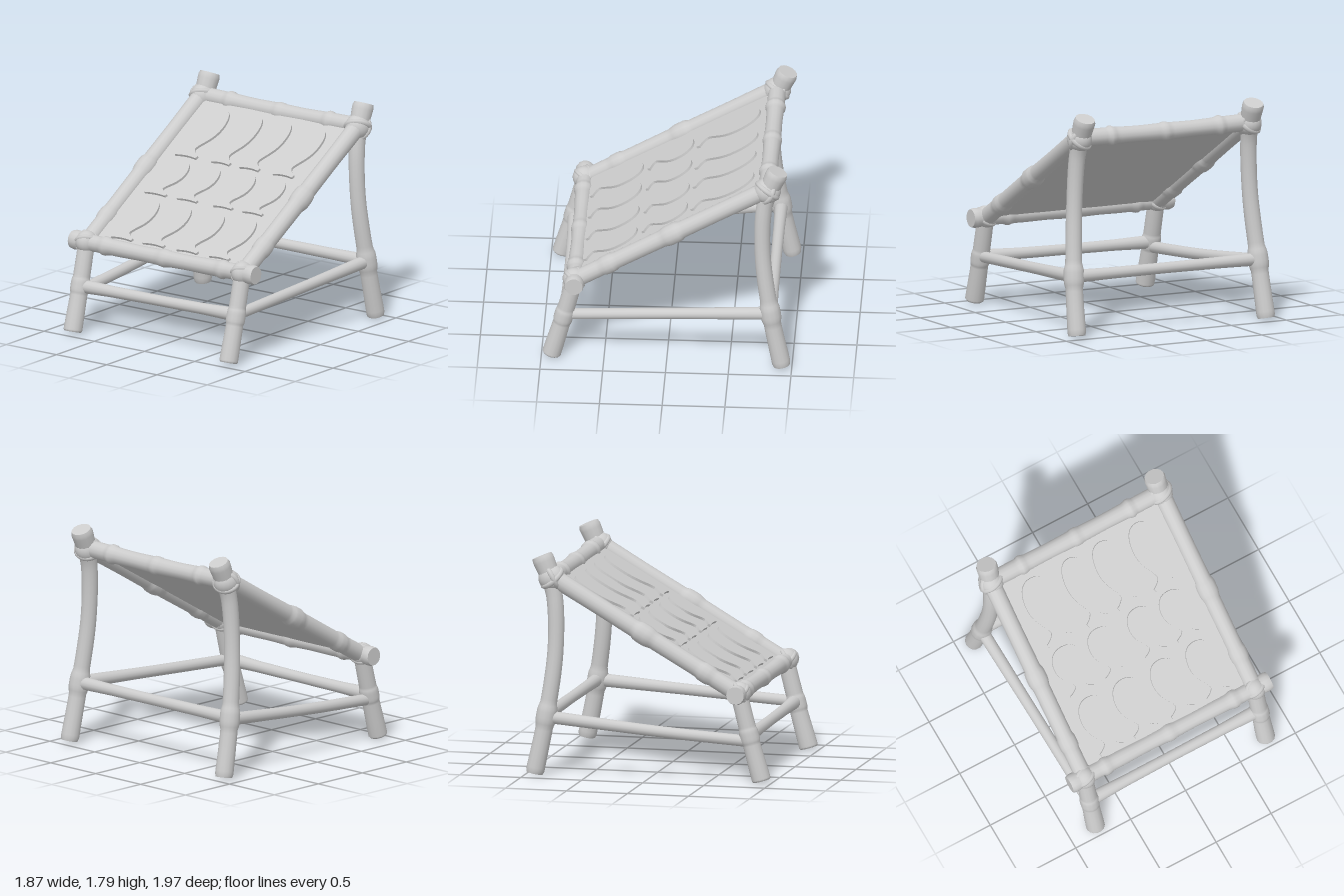
import * as THREE from 'three';
import { toCreasedNormals } from 'three/addons/utils/BufferGeometryUtils.js';

const wood = new THREE.MeshStandardMaterial({ color: 0xcccccc });
wood.name = 'pale grey wood';

const RINGS = 72;
const SIDES = 14;
const SLOPE = Math.PI / 6;
const railY = (z) => 1.136 - 0.578 * z;

// Capped pole along a curve; radii are spread evenly, knots are [t, height, halfWidth] swellings
function pole(name, points, radii, knots = []) {
  const curve = new THREE.CatmullRomCurve3(points.map((p) => new THREE.Vector3(...p)));
  const geo = new THREE.TubeGeometry(curve, RINGS, 1, SIDES, false);
  const pos = geo.attributes.position;
  const centre = new THREE.Vector3();
  const v = new THREE.Vector3();
  const radiusAt = (t) => {
    const s = t * (radii.length - 1);
    const i = Math.min(Math.floor(s), radii.length - 2);
    let r = THREE.MathUtils.lerp(radii[i], radii[i + 1], THREE.MathUtils.smoothstep(s - i, 0, 1));
    for (const [at, height, width] of knots) {
      r += height * Math.max(0, 1 - ((t - at) / width) ** 4);
    }
    return r;
  };
  for (let k = 0; k < pos.count; k++) {
    const ring = Math.floor(k / (SIDES + 1));
    const t = THREE.MathUtils.clamp((ring - 1) / (RINGS - 2), 0, 1);
    curve.getPointAt(ring / RINGS, centre);
    v.fromBufferAttribute(pos, k).sub(centre);
    // the outermost rings collapse to close the ends, the next are slightly chamfered
    let r = radiusAt(t);
    if (ring === 0 || ring === RINGS) r = 0;
    else if (ring === 1 || ring === RINGS - 1) r *= 0.9;
    curve.getPointAt(t, centre);
    v.multiplyScalar(r).add(centre);
    pos.setXYZ(k, v.x, v.y, v.z);
  }
  const mesh = new THREE.Mesh(toCreasedNormals(geo, 0.75), wood);
  mesh.name = name;
  return mesh;
}

// Rope lashing: a rounded lump with crossing bands
function lashing(name, x, y, z, r) {
  const group = new THREE.Group();
  group.name = name;
  const lump = new THREE.Mesh(new THREE.SphereGeometry(r, 20, 14), wood);
  lump.name = 'lump';
  lump.scale.set(0.95, 1, 1.05);
  group.add(lump);
  for (const tilt of [-0.5, 0.9]) {
    const band = new THREE.Mesh(new THREE.TorusGeometry(r * 0.88, r * 0.22, 8, 24), wood);
    band.name = 'band';
    band.rotation.set(tilt, Math.PI / 9, 0);
    group.add(band);
  }
  group.position.set(x, y, z);
  return group;
}

// Fish outline with its head at the upper end and a flared tail below
function fishGeometry(width, length) {
  const w = width / 2;
  const h = length;
  const s = new THREE.Shape();
  s.moveTo(0, h / 2);
  s.bezierCurveTo(w * 0.75, h * 0.5, w, h * 0.32, w, h * 0.14);
  s.bezierCurveTo(w, -h * 0.12, w * 0.3, -h * 0.22, w * 0.27, -h * 0.33);
  s.quadraticCurveTo(w * 0.4, -h * 0.4, w * 0.82, -h * 0.45);
  s.lineTo(w * 0.75, -h * 0.5);
  s.quadraticCurveTo(0, -h * 0.46, -w * 0.75, -h * 0.5);
  s.lineTo(-w * 0.82, -h * 0.45);
  s.quadraticCurveTo(-w * 0.4, -h * 0.4, -w * 0.27, -h * 0.33);
  s.bezierCurveTo(-w * 0.3, -h * 0.22, -w, -h * 0.12, -w, h * 0.14);
  s.bezierCurveTo(-w, h * 0.32, -w * 0.75, h * 0.5, 0, h / 2);
  return new THREE.ExtrudeGeometry(s, { depth: 0.022, bevelEnabled: false, curveSegments: 10 });
}

// Sloping sheet with three rows of fish
function dryingSheet() {
  const group = new THREE.Group();
  group.name = 'dryingSheet';
  const sheet = new THREE.Mesh(new THREE.BoxGeometry(1.46, 1.72, 0.03), wood);
  sheet.name = 'sheet';
  sheet.position.set(0, 0.05, -0.003);
  group.add(sheet);
  const rows = [
    { z0: -0.69, z1: -0.19, fish: [[-0.48, 0.27], [-0.135, 0.23], [0.15, 0.24], [0.485, 0.25]] },
    { z0: -0.16, z1: 0.2, fish: [[-0.49, 0.27], [-0.175, 0.25], [0.18, 0.24], [0.475, 0.25]] },
    { z0: 0.24, z1: 0.66, fish: [[-0.48, 0.26], [-0.165, 0.27], [0.17, 0.26], [0.49, 0.25]] },
  ];
  for (const { z0, z1, fish } of rows) {
    for (const [x, width] of fish) {
      const mesh = new THREE.Mesh(fishGeometry(width, (z1 - z0) / Math.cos(SLOPE)), wood);
      mesh.name = 'fish';
      mesh.position.set(x, -(z0 + z1) / 2 / Math.cos(SLOPE), 0.01);
      group.add(mesh);
    }
  }
  group.position.y = railY(0);
  group.rotation.x = SLOPE - Math.PI / 2;
  return group;
}

export function createModel() {
  const model = new THREE.Group();
  model.name = 'fishDryingRack';

  for (const [side, s] of [['left', 1], ['right', -1]]) {
    model.add(
      // legs
      pole(side + 'FrontLeg', [[s * 0.775, 0.02, 0.92], [s * 0.775, 0.36, 0.825], [s * 0.775, 0.71, 0.735]],
        [0.076, 0.07, 0.068], [[0.52, 0.008, 0.09]]),
      pole(side + 'BackLeg', [
        [s * 0.86, 0.02, -0.92], [s * 0.84, 0.45, -0.835], [s * 0.8, 1.0, -0.765],
        [s * 0.78, 1.42, -0.775], [s * 0.77, 1.6, -0.82], [s * 0.765, 1.76, -0.885],
      ], [0.074, 0.07, 0.066, 0.064, 0.066, 0.088], [[0.27, 0.013, 0.05]]),
      // sloping side rail with two joints
      pole(side + 'SideRail', [[s * 0.775, railY(0.74), 0.74], [s * 0.775, railY(0), 0], [s * 0.775, railY(-0.8), -0.8]],
        [0.07, 0.069, 0.071, 0.069, 0.072], [[0.51, 0.014, 0.045], [0.18, 0.01, 0.035]]),
      // lashed corners
      lashing(side + 'BackLashing', s * 0.77, 1.585, -0.8, 0.105),
      lashing(side + 'FrontLashing', s * 0.775, 0.72, 0.735, 0.092),
    );
  }

  // low side stretchers, the right one set a little lower
  model.add(
    pole('leftStretcher', [[0.775, 0.39, 0.8], [0.8, 0.43, 0.1], [0.84, 0.485, -0.83]], [0.045, 0.045, 0.052]),
    pole('rightStretcher', [[-0.775, 0.335, 0.8], [-0.8, 0.385, 0.1], [-0.84, 0.475, -0.83]], [0.046, 0.045, 0.05]),
  );

  // crossbars
  const joints = [[0.18, 0.012, 0.022], [0.5, 0.009, 0.02], [0.82, 0.012, 0.022]];
  model.add(
    pole('frontBar', [[-0.91, 0.72, 0.735], [0, 0.712, 0.73], [0.91, 0.72, 0.735]],
      [0.08, 0.066, 0.066, 0.062, 0.066, 0.062, 0.066, 0.066, 0.08], joints),
    pole('topBar', [[-0.77, 1.592, -0.8], [0, 1.582, -0.8], [0.77, 1.592, -0.8]],
      [0.07, 0.07, 0.066, 0.07, 0.066, 0.07, 0.07], joints),
    pole('frontStretcher', [[-0.775, 0.375, 0.815], [0, 0.38, 0.81], [0.775, 0.39, 0.81]], [0.055, 0.046, 0.044, 0.046, 0.055]),
    pole('backStretcher', [[-0.84, 0.485, -0.83], [0, 0.485, -0.83], [0.84, 0.485, -0.83]], [0.052, 0.046, 0.044, 0.046, 0.052]),
  );

  model.add(dryingSheet());
  return model;
}
